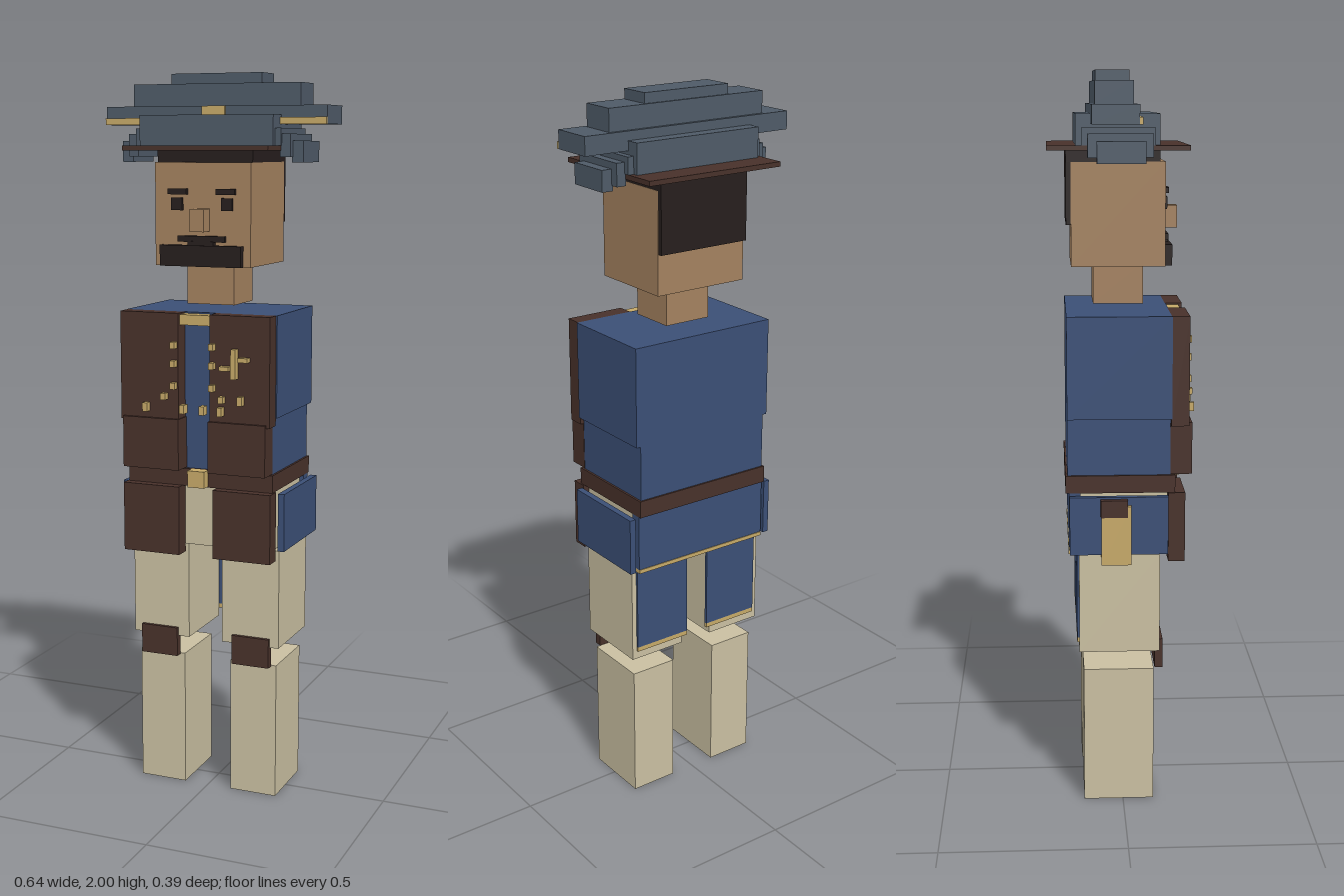
import * as THREE from 'three';

const mat = (name, color) => {
  const m = new THREE.MeshStandardMaterial({ color });
  m.name = name;
  return m;
};

export function createModel() {
  const model = new THREE.Group();
  model.name = 'blockFigure';
  const skin = mat('skin', 0xa3815f);
  const blue = mat('coatBlue', 0x3b4f76);
  const brown = mat('darkBrown', 0x48312a);
  const cream = mat('cream', 0xc9bfa1);
  const gold = mat('gold', 0xc6a968);
  const slate = mat('hatSlate', 0x4e5a67);
  const black = mat('hairBlack', 0x261e1d);

  // Box given by its limits on each axis
  const box = (name, m, x0, x1, y0, y1, z0, z1) => {
    const mesh = new THREE.Mesh(new THREE.BoxGeometry(x1 - x0, y1 - y0, z1 - z0), m);
    mesh.position.set((x0 + x1) / 2, (y0 + y1) / 2, (z0 + z1) / 2);
    mesh.name = name;
    model.add(mesh);
  };
  // Box centred on x
  const mid = (name, m, hx, ...yz) => box(name, m, -hx, hx, ...yz);
  // Mirrored left and right boxes
  const pair = (name, m, x0, x1, ...yz) => {
    box(name + 'Left', m, x0, x1, ...yz);
    box(name + 'Right', m, -x1, -x0, ...yz);
  };

  // Legs
  pair('lowerLeg', cream, 0.07, 0.207, 0, 0.387, -0.108, 0.085);
  pair('upperLeg', cream, 0.05, 0.219, 0.443, 0.722, -0.12, 0.1);
  pair('kneePad', brown, 0.083, 0.193, 0.385, 0.468, 0.088, 0.11);
  pair('coatTail', blue, 0.035, 0.205, 0.48, 0.722, -0.126, -0.118);
  pair('coatTailTrim', gold, 0.035, 0.205, 0.467, 0.48, -0.126, -0.118);

  // Hips and coat skirt
  mid('pelvis', cream, 0.2, 0.722, 0.89, -0.12, 0.12);
  mid('skirtBack', blue, 0.212, 0.733, 0.892, -0.146, -0.115);
  mid('skirtBackTrim', gold, 0.212, 0.722, 0.733, -0.148, -0.115);
  pair('skirtSide', blue, 0.222, 0.24, 0.727, 0.887, -0.145, 0.12);
  pair('frontFlap', brown, 0.05, 0.217, 0.7, 0.892, 0.122, 0.167);
  mid('belt', brown, 0.213, 0.892, 0.94, -0.155, 0.14);
  mid('buckle', gold, 0.025, 0.894, 0.94, 0.135, 0.166);

  // Sidearm on the right hip
  box('holster', gold, -0.255, -0.215, 0.702, 0.865, -0.06, 0.02);
  box('holsterGrip', brown, -0.258, -0.215, 0.835, 0.882, -0.062, 0.01);

  // Torso and vest
  mid('lowerTorso', blue, 0.207, 0.938, 1.1, -0.15, 0.128);
  mid('upperTorso', blue, 0.22, 1.095, 1.37, -0.15, 0.13);
  pair('upperVest', brown, 0.046, 0.217, 1.075, 1.37, 0.128, 0.176);
  pair('lowerVest', brown, 0.043, 0.208, 0.942, 1.083, 0.127, 0.185);
  mid('collarTrim', gold, 0.05, 1.338, 1.366, 0.125, 0.165);

  // Buttons and the chest ornament: x, y, half width, half height
  const button = (x, y, w = 0.007, h = 0.009) =>
    box('button', gold, x - w, x + w, y - h, y + h, 0.17, 0.195);
  for (const s of [-1, 1]) {
    for (const y of [1.285, 1.235, 1.175]) button(s * 0.056, y);
    button(s * 0.084, 1.145);
    button(s * 0.138, s < 0 ? 1.113 : 1.145, 0.007, 0.012);
    button(s * 0.029, 1.113, 0.007, 0.012);
  }
  button(0.08, 1.113, 0.007, 0.012);
  button(0.12, 1.243, 0.007, 0.04);
  button(0.093, 1.23, 0.014, 0.006);
  button(0.147, 1.255, 0.014, 0.006);

  // Head and face
  mid('neck', skin, 0.069, 1.385, 1.495, -0.075, 0.06);
  mid('head', skin, 0.138, 1.492, 1.766, -0.135, 0.115);
  mid('hairTop', black, 0.137, 1.766, 1.798, -0.148, 0.1);
  mid('hairBack', black, 0.137, 1.602, 1.766, -0.148, -0.134);
  pair('eyebrow', black, 0.042, 0.096, 1.682, 1.697, 0.113, 0.127);
  pair('eye', black, 0.056, 0.088, 1.64, 1.673, 0.113, 0.123);
  mid('nose', skin, 0.02, 1.585, 1.645, 0.113, 0.155);
  mid('moustacheTop', black, 0.068, 1.557, 1.573, 0.113, 0.128);
  mid('moustacheMiddle', black, 0.037, 1.546, 1.559, 0.113, 0.13);
  mid('beard', black, 0.117, 1.492, 1.548, 0.113, 0.135);

  // Hat
  mid('hatBrim', brown, 0.207, 1.797, 1.81, -0.198, 0.174);
  mid('hatCrown', slate, 0.192, 1.81, 1.89, -0.123, 0.096);
  pair('crownSide', slate, 0.19, 0.209, 1.81, 1.855, -0.108, 0.083);
  pair('sideStepInner', slate, 0.205, 0.233, 1.78, 1.84, -0.093, 0.077);
  pair('sideStepOuter', slate, 0.23, 0.262, 1.766, 1.822, -0.07, 0.056);
  mid('upperBrim', slate, 0.32, 1.865, 1.914, -0.085, 0.036);
  mid('upperBrimTrim', gold, 0.32, 1.865, 1.883, 0.034, 0.044);
  mid('hatBadge', gold, 0.033, 1.886, 1.914, 0.034, 0.043);
  mid('hatTier', slate, 0.242, 1.914, 1.973, -0.075, 0.025);
  mid('hatTop', slate, 0.131, 1.973, 2, -0.07, 0.02);

  return model;
}
